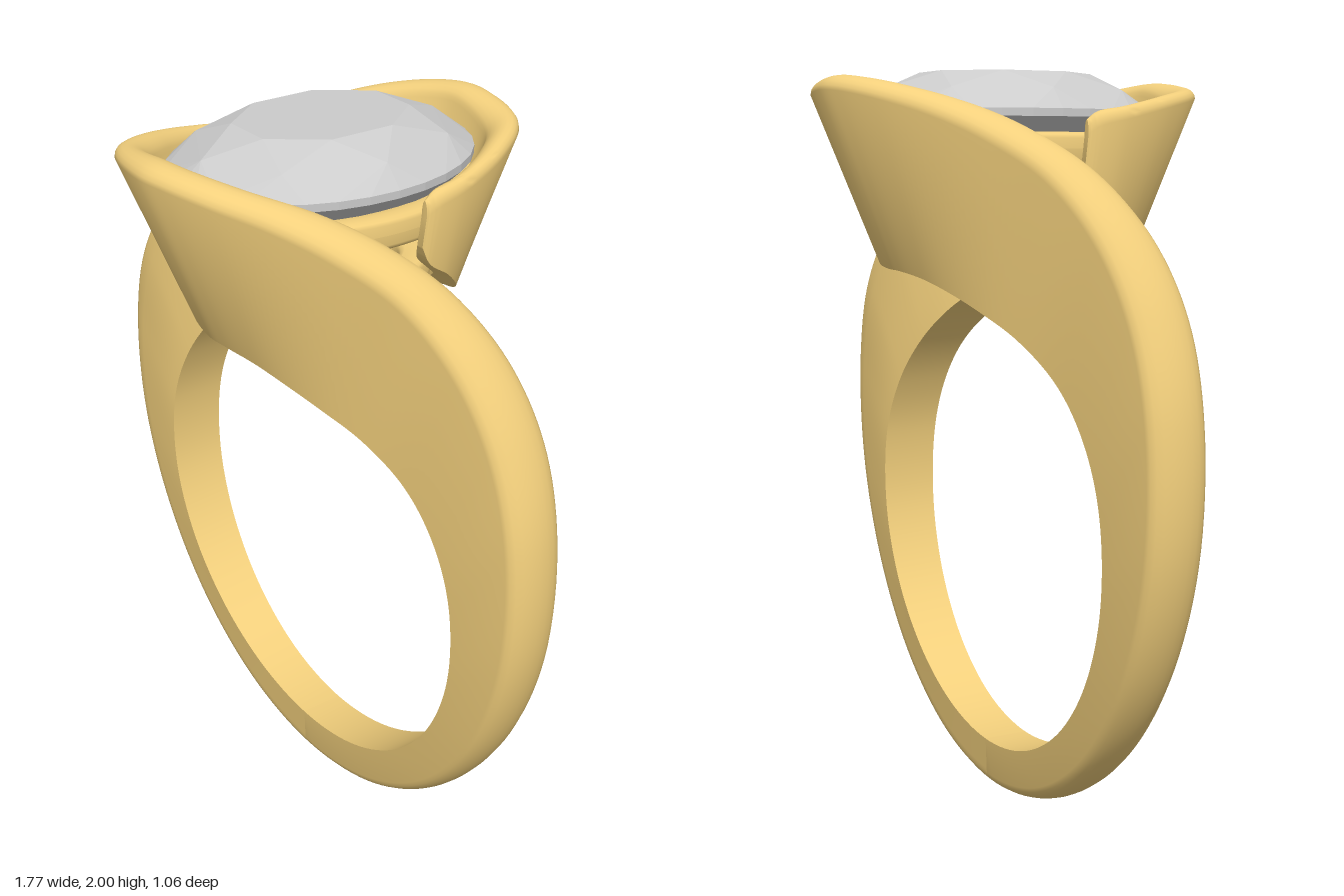
import * as THREE from 'three';
import { toCreasedNormals } from 'three/addons/utils/BufferGeometryUtils.js';
import { ConvexGeometry } from 'three/addons/geometries/ConvexGeometry.js';

const gold = new THREE.MeshStandardMaterial({ color: 0xf2cf7c });
const stone = new THREE.MeshStandardMaterial({ color: 0xcccccc });
const V = (x, y, z) => new THREE.Vector3(x, y, z);

// Band stations: angle from the bottom, z of inner-back, inner-front, outer-front, outer-back, hollow depth
// (the first one only guides the curves through the bottom)
const BAND = [
  [-20, -.064, .064, .06, -.06, 0],
  [0, -.064, .064, .06, -.06, 0],
  [20, -.066, .066, .062, -.062, 0],
  [40, -.071, .071, .067, -.067, 0],
  [60, -.077, .077, .07, -.075, 0],
  [80, -.08, .083, .07, -.085, 0],
  [100, -.075, .09, .07, -.092, 0],
  [115, -.053, .105, .08, -.088, 0],
  [128, -.015, .135, .115, -.05, .005],
  [140, .035, .19, .18, .025, .015],
  [150, .09, .25, .28, .125, .02],
  [158, .145, .29, .37, .225, .015],
  [166, .2, .32, .46, .34, 0],
  [174, .25, .345, .515, .41, 0],
  [180, .275, .35, .53, .43, 0],
];
// Stations where the wall wraps round the stone: inner-low, outer-low, outer-top, inner-top
const WRAP = [
  [[-.1, 1.53, .26], [-.14, 1.505, .315], [-.2, 1.935, .475], [-.16, 1.91, .395]],
  [[-.2, 1.59, .21], [-.265, 1.575, .235], [-.305, 1.91, .34], [-.25, 1.89, .295]],
  [[-.285, 1.66, .12], [-.345, 1.66, .135], [-.365, 1.875, .17], [-.315, 1.865, .16]],
  [[-.31, 1.71, .065], [-.36, 1.71, .065], [-.372, 1.855, .08], [-.33, 1.855, .08]],
  [[-.335, 1.755, .045], [-.355, 1.755, .045], [-.362, 1.835, .05], [-.342, 1.835, .05]],
];

// Each corner of the section follows its own smooth curve
function armGeometry() {
  const corners = [[], [], [], []], ups = [], hollows = [];
  for (const [deg, zA, zB, zC, zD, k] of BAND) {
    const a = THREE.MathUtils.degToRad(deg), s = Math.sin(a), c = Math.cos(a);
    const inner = z => V(.68 * s, .815 - .675 * c, z);
    const outer = z => V(.85 * s, .992 - .955 * c, z);
    [inner(zA), inner(zB), outer(zC), outer(zD)].forEach((p, i) => corners[i].push(p));
    ups.push(V(s, -c, 0));
    hollows.push(V(0, 0, k));
  }
  for (const key of WRAP) {
    key.forEach((p, i) => corners[i].push(V(...p)));
    ups.push(V(0, 1, 0));
    hollows.push(V(0, 0, 0));
  }
  const curves = corners.map(p => new THREE.CatmullRomCurve3(p));
  const last = ups.length - 1, perKey = 8, steps = (last - 1) * perKey;
  const sample = (list, t) => {
    const i = Math.min(Math.floor(t * last), last - 1);
    return list[i].clone().lerp(list[i + 1], t * last - i);
  };
  const pos = [], index = [], inside = 8, arc = 10;
  const N = inside + arc + 2;
  for (let i = 0; i <= steps; i++) {
    const t = (i + perKey) / (steps + perKey);
    const [A, B, C, D] = curves.map(c => c.getPoint(t));
    const up = sample(ups, t).normalize(), hollow = sample(hollows, t);
    const ring = [];
    // hollowed inner face
    for (let j = 0; j < inside; j++) {
      const u = j / inside;
      ring.push(A.clone().lerp(D, u).addScaledVector(hollow, 4 * u * (1 - u)));
    }
    // rounded rim
    const mid = C.clone().add(D).multiplyScalar(.5), half = D.clone().sub(C).multiplyScalar(.5);
    for (let j = 0; j <= arc; j++) {
      const a = Math.PI * j / arc;
      ring.push(mid.clone().addScaledVector(half, Math.cos(a)).addScaledVector(up, .037 * Math.sin(a)));
    }
    ring.push(B);
    ring.forEach(p => pos.push(p.x, p.y, p.z));
    if (i === steps) { // tip
      const c = ring.reduce((m, p) => m.add(p), V(0, 0, 0)).divideScalar(N);
      pos.push(c.x, c.y, c.z);
    }
  }
  for (let j = 0; j < N; j++) {
    const k = (j + 1) % N;
    for (let i = 0; i < steps; i++) {
      const a = i * N + j, b = i * N + k;
      index.push(a, a + N, b, b, a + N, b + N);
    }
    index.push((steps + 1) * N, steps * N + k, steps * N + j);
  }
  const g = new THREE.BufferGeometry();
  g.setAttribute('position', new THREE.Float32BufferAttribute(pos, 3));
  g.setIndex(index);
  return toCreasedNormals(g, .7);
}

// Faceted cut stone, girdle at y = 0
function cutStone(rx, rz, crown, depth) {
  const pts = [V(0, -depth, 0)];
  const ring = (n, r, y, shift) => {
    for (let i = 0; i < n; i++) {
      const a = (i + shift) / n * Math.PI * 2;
      pts.push(V(rx * r * Math.cos(a), y, rz * r * Math.sin(a)));
    }
  };
  ring(8, .57, crown, .5);
  ring(8, .84, crown * .54, 0);
  ring(32, 1, 0, 0);
  ring(32, 1, -crown * .2, 0);
  ring(8, .6, -depth * .5, .5);
  return new ConvexGeometry(pts);
}

// Oval ring of the setting, with a softly rounded section
function ovalRing(rx, rz, y, w, h) {
  const profile = [];
  for (let i = 0; i <= 16; i++) {
    const a = i / 16 * Math.PI * 2, c = Math.cos(a), s = Math.sin(a);
    profile.push(new THREE.Vector2(rx - w + w * Math.sign(c) * Math.sqrt(Math.abs(c)),
      y + h * Math.sign(s) * Math.sqrt(Math.abs(s))));
  }
  return new THREE.LatheGeometry(profile, 64).scale(1, 1, rz / rx);
}

export function createModel() {
  const ring = new THREE.Group();
  ring.name = 'ring';
  const add = (parent, name, geometry, material) => {
    const m = new THREE.Mesh(geometry, material);
    m.name = name;
    parent.add(m);
    return m;
  };

  // Two identical bypass arms, half a turn apart
  const arm = armGeometry(), accent = cutStone(.08, .08, .025, .05);
  for (const side of ['front', 'back']) {
    const half = new THREE.Group();
    half.name = side + 'Half';
    add(half, side + 'Arm', arm, gold);
    const gem = add(half, side + 'AccentStone', accent, stone);
    gem.position.set(.4, 1.607, .118);
    gem.quaternion.setFromUnitVectors(V(0, 1, 0), V(-.5, .2, -.84).normalize());
    if (side === 'back') half.rotation.y = Math.PI;
    ring.add(half);
  }

  // Setting and centre stone
  add(ring, 'upperSettingRing', ovalRing(.336, .42, 1.8, .035, .042), gold);
  add(ring, 'lowerSettingRing', ovalRing(.225, .32, 1.575, .035, .045), gold);
  add(ring, 'centreStone', cutStone(.32, .42, .1, .32), stone).position.y = 1.9;
  return ring;
}
